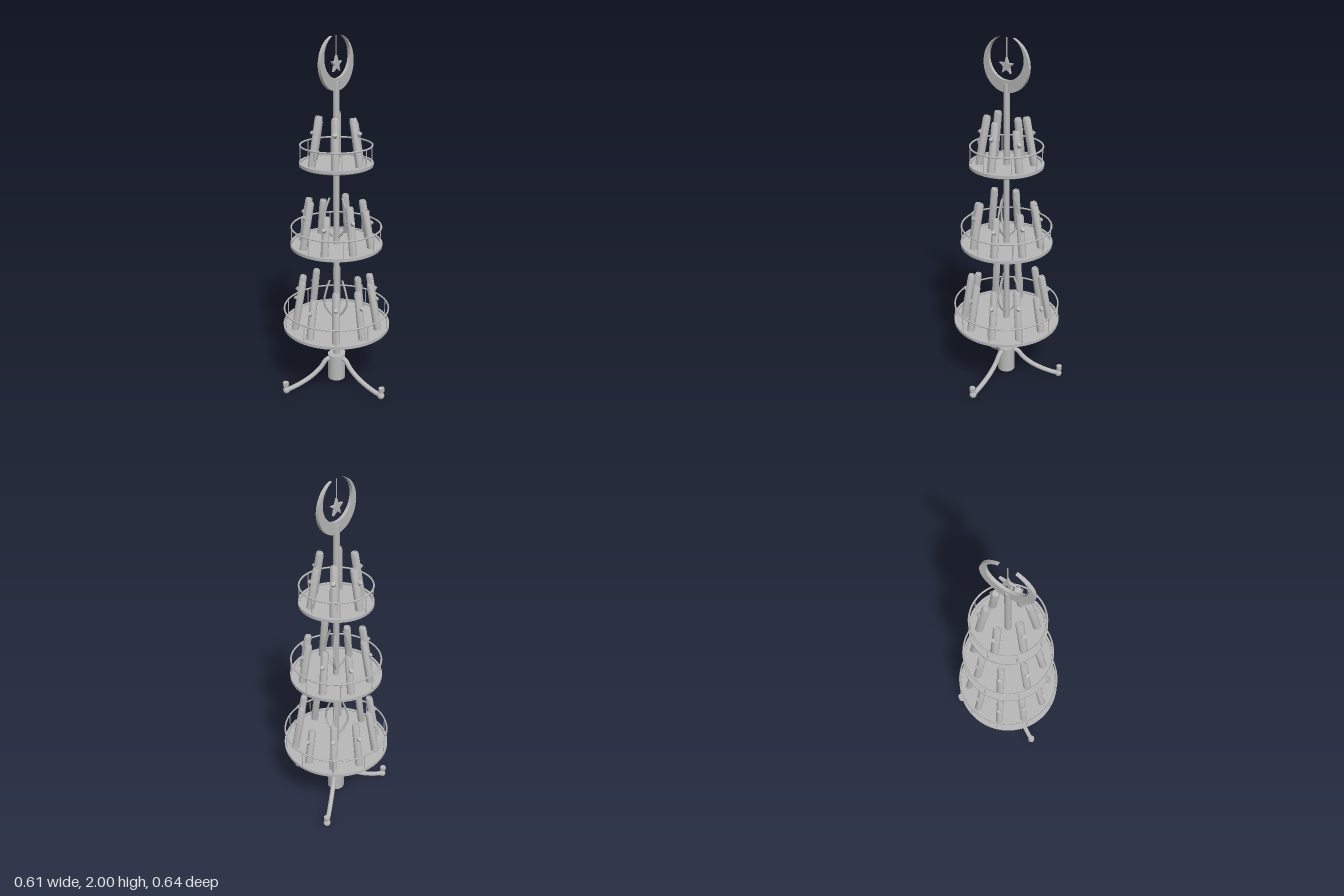
import * as THREE from 'three';
import { toCreasedNormals } from 'three/addons/utils/BufferGeometryUtils.js';

const grey = new THREE.MeshStandardMaterial({ color: 0xb8b8b8 });
grey.name = 'plain grey';

function mesh(name, geometry, x = 0, y = 0, z = 0) {
  const m = new THREE.Mesh(geometry, grey);
  m.name = name;
  m.position.set(x, y, z);
  return m;
}

function lathe(points, sides) {
  const profile = points.map(([x, y]) => new THREE.Vector2(x, y));
  return toCreasedNormals(new THREE.LatheGeometry(profile, sides), 0.7);
}

// Swept rod through [radius, height] points, lying in the x-y plane
function rod(points, radius, steps, sides) {
  const curve = new THREE.CatmullRomCurve3(points.map(([r, y]) => new THREE.Vector3(r, y, 0)));
  return new THREE.TubeGeometry(curve, steps, radius, sides);
}

// Leaning hollow-ended tube with a small stub on its outer side
function leaningTube(angle, baseRadius, y, length) {
  const turn = new THREE.Group();
  turn.name = 'leaningTube';
  turn.rotation.y = -angle;
  const lean = new THREE.Group();
  lean.position.set(baseRadius, y, 0);
  lean.rotation.z = 0.17;
  lean.add(mesh('tubeBody', lathe([
    [0, 0], [0.021, 0], [0.021, length - 0.012], [0.017, length],
    [0.012, length], [0.012, length - 0.006], [0, length - 0.006],
  ], 12)));
  const stub = mesh('tubeStub', new THREE.CylinderGeometry(0.011, 0.011, 0.024, 8), 0.02, length * 0.66, 0);
  stub.rotation.z = -0.9;
  lean.add(stub);
  turn.add(lean);
  return turn;
}

// Round tray with raised lip, railing and a ring of tubes
function tray({ y, radius, railY, posts, tubeRadius, phase, lengths }) {
  const g = new THREE.Group();
  g.name = 'tray';
  g.add(mesh('trayDish', lathe([
    [0, y], [radius - 0.015, y], [radius, y + 0.008], [radius, y + 0.025],
    [radius - 0.012, y + 0.025], [radius - 0.012, y + 0.015], [0, y + 0.015],
  ], 64)));
  const railRadius = radius - 0.007;
  const rail = mesh('rail', new THREE.TorusGeometry(railRadius, 0.005, 8, 64), 0, railY, 0);
  rail.rotation.x = Math.PI / 2;
  g.add(rail);
  const postHeight = railY - y - 0.02;
  for (let i = 0; i < posts; i++) {
    const a = (i / posts) * Math.PI * 2;
    g.add(mesh('railPost', new THREE.CylinderGeometry(0.003, 0.003, postHeight, 6),
      Math.cos(a) * railRadius, railY - postHeight / 2, Math.sin(a) * railRadius));
  }
  lengths.forEach((length, i) => {
    const a = THREE.MathUtils.degToRad(phase) + (i / lengths.length) * Math.PI * 2;
    g.add(leaningTube(a, tubeRadius, y + 0.013, length));
  });
  return g;
}

// Crescent between two overlapping circles
function crescent() {
  const outer = 0.142, inner = 0.111, offset = 0.033;
  const tipY = (offset * offset + outer * outer - inner * inner) / (2 * offset);
  const tipX = Math.sqrt(outer * outer - tipY * tipY);
  const outerTip = Math.atan2(tipY, tipX);
  const innerTip = Math.atan2(tipY - offset, tipX);
  const shape = new THREE.Shape();
  shape.absarc(0, 0, outer, Math.PI - outerTip, Math.PI * 2 + outerTip, false);
  shape.absarc(0, offset, inner, innerTip, -Math.PI - innerTip, true);
  return new THREE.ExtrudeGeometry(shape, { depth: 0.018, bevelEnabled: false, curveSegments: 40 });
}

function star() {
  const points = [];
  for (let i = 0; i < 10; i++) {
    const a = Math.PI / 2 + (i * Math.PI) / 5;
    const r = i % 2 ? 0.019 : 0.046;
    points.push(new THREE.Vector2(Math.cos(a) * r, Math.sin(a) * r));
  }
  return new THREE.ExtrudeGeometry(new THREE.Shape(points), { depth: 0.014, bevelEnabled: false });
}

export function createModel() {
  const model = new THREE.Group();
  model.name = 'tieredStand';
  const stand = new THREE.Group();
  stand.name = 'stand';
  stand.position.z = -0.016;
  model.add(stand);

  // Central column
  stand.add(mesh('baseSleeve', new THREE.CylinderGeometry(0.05, 0.05, 0.155, 24), 0, 0.113, 0));
  stand.add(mesh('pole', new THREE.CylinderGeometry(0.017, 0.017, 1.65, 12), 0, 0.945, 0));

  // Three curved legs with upturned feet, one pointing forward
  for (let i = 0; i < 3; i++) {
    const leg = new THREE.Group();
    leg.name = 'leg';
    leg.rotation.y = -Math.PI / 2 + (i * Math.PI * 2) / 3;
    leg.add(mesh('legBar', rod([[0.035, 0.172], [0.065, 0.163], [0.1, 0.12], [0.15, 0.08],
      [0.21, 0.05], [0.28, 0.027], [0.315, 0.022]], 0.014, 24, 10)));
    leg.add(mesh('footKnob', new THREE.SphereGeometry(0.021, 10, 8), 0.314, 0.021, 0));
    leg.add(mesh('footStem', new THREE.CylinderGeometry(0.011, 0.011, 0.04, 8), 0.316, 0.04, 0));
    leg.add(mesh('footCap', new THREE.CylinderGeometry(0.018, 0.018, 0.022, 6), 0.318, 0.061, 0));
    stand.add(leg);

    // Bowed wires around the pole above the two lower trays
    for (const y of [0.43, 0.915]) {
      const wire = mesh('bowedWire', rod([[0.012, y], [0.05, y + 0.045], [0.075, y + 0.1],
        [0.065, y + 0.165], [0.04, y + 0.235]], 0.006, 20, 6));
      wire.rotation.y = leg.rotation.y;
      stand.add(wire);
    }
  }

  // Trays, large to small
  stand.add(tray({ y: 0.373, radius: 0.304, railY: 0.492, posts: 10, tubeRadius: 0.245, phase: 0,
    lengths: [0.215, 0.285, 0.28, 0.275, 0.285, 0.225, 0.29, 0.275, 0.27, 0.28] }));
  stand.add(tray({ y: 0.862, radius: 0.255, railY: 0.98, posts: 8, tubeRadius: 0.2, phase: 27,
    lengths: [0.235, 0.215, 0.265, 0.215, 0.27, 0.255, 0.215, 0.245] }));
  stand.add(tray({ y: 1.32, radius: 0.2, railY: 1.437, posts: 8, tubeRadius: 0.146, phase: 26,
    lengths: [0.22, 0.26, 0.27, 0.27, 0.23, 0.265] }));

  // Crescent finial with hanging star
  stand.add(mesh('crescent', crescent(), 0, 1.864, -0.009));
  stand.add(mesh('star', star(), 0, 1.858, -0.007));
  stand.add(mesh('starCord', new THREE.CylinderGeometry(0.003, 0.003, 0.105, 6), 0, 1.9475, 0));

  return model;
}
